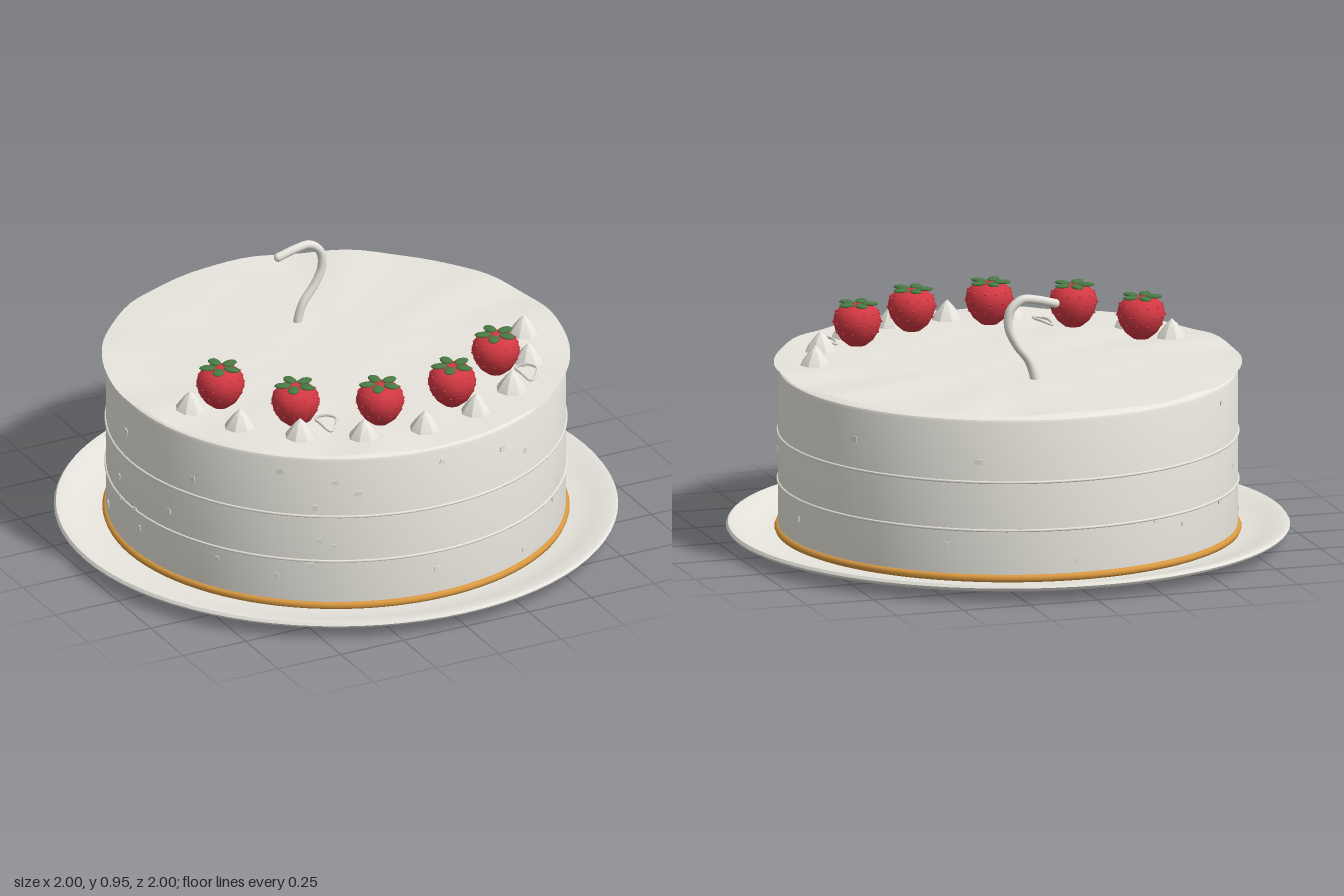
import * as THREE from 'three';
import { toCreasedNormals } from 'three/addons/utils/BufferGeometryUtils.js';

const mat = (name, color, side = THREE.FrontSide) => {
  const m = new THREE.MeshStandardMaterial({ color, side });
  m.name = name;
  return m;
};
const v3 = (a) => new THREE.Vector3(...a);

export function createModel() {
  const cake = new THREE.Group();
  cake.name = 'cake';
  const porcelain = mat('porcelain', 0xf3f1e9);
  const cream = mat('cream', 0xf1efe6, THREE.DoubleSide);
  const gold = mat('gold', 0xdc9a40);
  const red = mat('berry red', 0xd23842);
  const green = mat('leaf green', 0x4a7a45);

  const add = (parent, name, geometry, material, x = 0, y = 0, z = 0) => {
    const mesh = new THREE.Mesh(geometry, material);
    mesh.name = name;
    mesh.position.set(x, y, z);
    parent.add(mesh);
    return mesh;
  };
  const lathe = (points, segments) => toCreasedNormals(
    new THREE.LatheGeometry(points.map((p) => new THREE.Vector2(...p)), segments), 0.6);
  const ring = (radius, tube) => new THREE.TorusGeometry(radius, tube, 8, 96).rotateX(Math.PI / 2);

  // Dished plate and gold board edge
  add(cake, 'plate', lathe([[0, 0], [0.78, 0.005], [0.9, 0.02], [0.97, 0.035], [0.995, 0.045], [1, 0.053],
    [0.993, 0.063], [0.97, 0.062], [0.92, 0.047], [0.86, 0.034], [0.8, 0.03], [0, 0.03]], 80), porcelain);
  add(cake, 'goldRing', ring(0.814, 0.014), gold, 0, 0.046, 0);

  // Cake body with two layer seams
  add(cake, 'cakeBody', lathe([[0, 0.03], [0.8, 0.03], [0.815, 0.05], [0.815, 0.61], [0.811, 0.62],
    [0.8, 0.626], [0, 0.626]], 96), cream);
  for (const y of [0.22, 0.395]) add(cake, 'layerSeam', ring(0.816, 0.005), cream, 0, y, 0);

  // Wavy icing sheet
  const icing = new THREE.RingGeometry(0.001, 0.83, 96, 12).rotateX(-Math.PI / 2);
  const p = icing.attributes.position;
  for (let i = 0; i < p.count; i++) {
    const x = p.getX(i), z = p.getZ(i), a = Math.atan2(z, x), r = Math.hypot(x, z);
    p.setY(i, 0.644 + r * r * (0.004 * Math.sin(11 * a) + 0.003 * Math.sin(17 * a + 1)) + 0.0015 * Math.sin(9 * x + 13 * z));
  }
  icing.computeVertexNormals();
  add(cake, 'icingSheet', icing, cream);

  // Scattered flecks of icing on the wall
  let seed = 7;
  const random = () => (seed = (seed * 16807) % 2147483647) / 2147483647;
  for (let i = 0; i < 36; i++) {
    const a = random() * Math.PI * 2, y = i % 3 ? 0.1 + random() * 0.22 : 0.42 + random() * 0.16;
    const fleck = add(cake, 'icingFleck', new THREE.BoxGeometry(0.014 + random() * 0.014, 0.02, 0.006), cream,
      0.815 * Math.sin(a), y, 0.815 * Math.cos(a));
    fleck.rotation.set(0, a, (random() - 0.5) * 0.8);
  }

  // Piped peaks along the front arc
  const peak = lathe([[0, 0], [0.058, 0], [0.05, 0.016], [0.022, 0.053], [0, 0.075]], 8);
  for (let i = -4; i <= 4; i++) {
    const a = i * 0.333;
    add(cake, 'creamPeak', peak, cream, 0.685 * Math.sin(a), 0.64, 0.685 * Math.cos(a));
  }

  // Berries with seeds and five leaves
  const berryShape = lathe([[0, -0.083], [0.03, -0.075], [0.058, -0.052], [0.077, -0.02], [0.086, 0.012],
    [0.08, 0.042], [0.062, 0.063], [0.032, 0.073], [0, 0.075]], 24);
  const seedShape = new THREE.OctahedronGeometry(0.006);
  const leafShape = new THREE.SphereGeometry(1, 10, 6).scale(0.031, 0.007, 0.021);
  for (const [x, z] of [[-0.56, 0.19], [-0.39, 0.44], [-0.12, 0.57], [0.175, 0.555], [0.43, 0.4]]) {
    const berry = new THREE.Group();
    berry.name = 'berry';
    berry.position.set(x, 0.72, z);
    cake.add(berry);
    add(berry, 'berryBody', berryShape, red);
    [[0.075, -0.022], [0.085, 0.012], [0.077, 0.046]].forEach(([r, y], row) => {
      for (let i = 0; i < 12; i++) {
        const a = (i + row / 2) * Math.PI / 6;
        add(berry, 'berrySeed', seedShape, red, r * Math.cos(a), y, r * Math.sin(a));
      }
    });
    for (let i = 0; i < 5; i++) {
      const a = Math.PI / 2 + i * Math.PI * 0.4;
      add(berry, 'leaf', leafShape, green, 0.046 * Math.cos(a), 0.076, -0.046 * Math.sin(a)).rotation.y = a;
    }
  }

  // Curved hook standing on the icing
  const hook = [[-0.005, 0.625, 0], [0, 0.66, 0], [0.02, 0.715, 0], [0.065, 0.775, 0], [0.094, 0.84, 0],
    [0.088, 0.9, 0], [0.045, 0.936, 0], [-0.01, 0.932, 0], [-0.08, 0.914, 0]].map(v3);
  add(cake, 'hook', new THREE.TubeGeometry(new THREE.CatmullRomCurve3(hook), 40, 0.016, 10), cream, 0, 0, -0.29);
  for (const end of [hook[0], hook[8]])
    add(cake, 'hookEnd', new THREE.SphereGeometry(0.016, 10, 8), cream, end.x, end.y, -0.29);

  // Small thin shavings between the berries
  const curl = new THREE.CatmullRomCurve3([[0, 0, -0.06], [0.03, 0.012, -0.045], [0.05, 0.016, 0],
    [0.03, 0.01, 0.04], [0, 0, 0.06], [-0.008, 0.004, 0]].map(v3), true);
  for (const [x, z] of [[-0.315, 0.51], [0.505, 0.47]])
    add(cake, 'shaving', new THREE.TubeGeometry(curl, 32, 0.005, 6, true), cream, x, 0.652, z);

  return cake;
}
